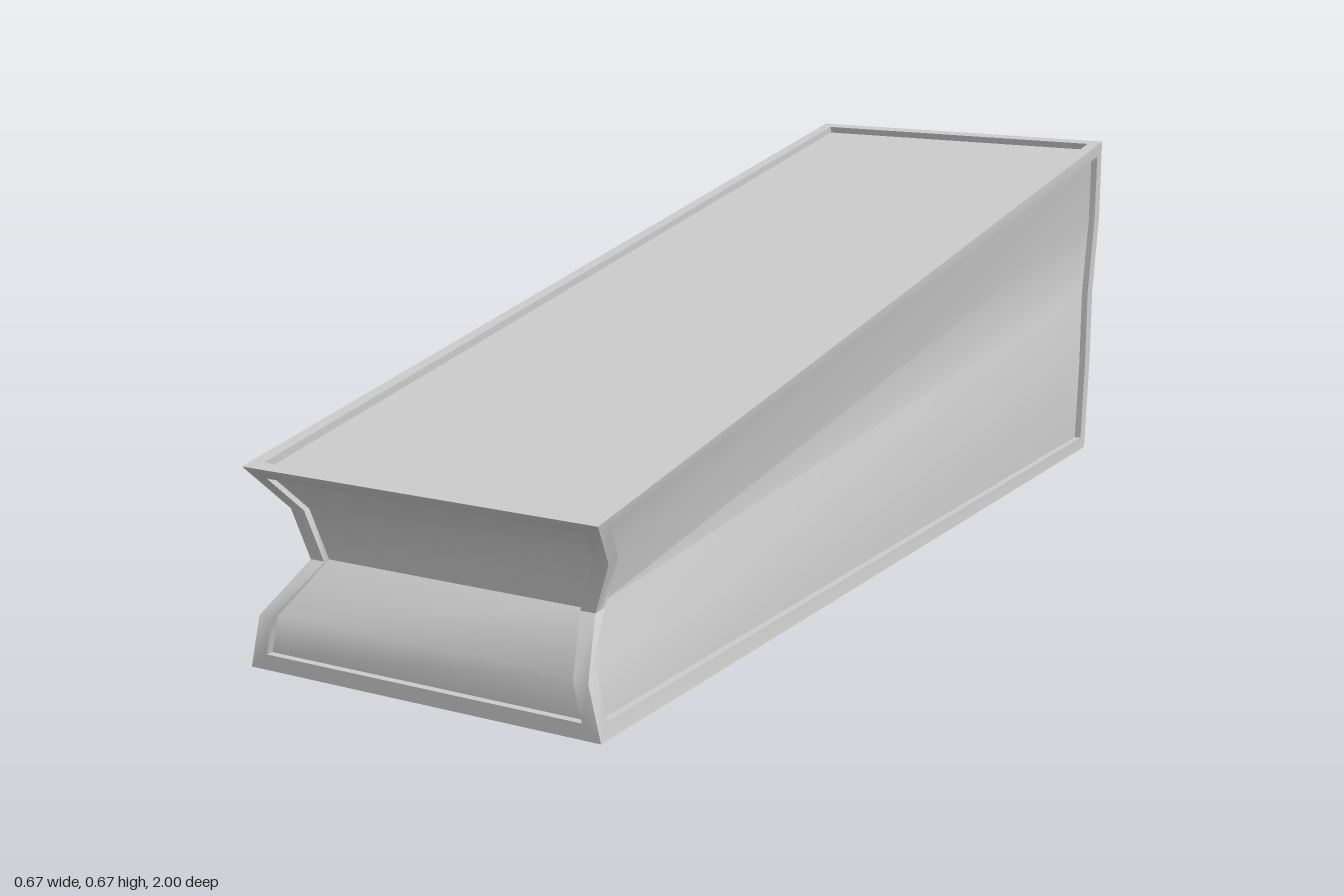
import * as THREE from 'three';
import { toCreasedNormals } from 'three/addons/utils/BufferGeometryUtils.js';

const V = (x, y, z) => new THREE.Vector3(x, y, z);
const material = new THREE.MeshStandardMaterial({ color: 0xcccccc });

// Corner edges from bottom to top: the front ones pinch in to a notch.
const frontEdge = [[0.333, 0, 1], [0.312, 0.09, 1], [0.272, 0.167, 0.917], [0.302, 0.25, 0.925], [0.333, 0.333, 1]];
const backEdge = [[0.333, 0, -0.955], [0.333, 0.19, -0.97], [0.333, 0.345, -0.972], [0.333, 0.505, -0.998], [0.333, 0.667, -1]];
const rail = (points, side) => points.map(([x, y, z]) => V(x * side, y, z));

// Mesh from a list of quads (corners counter-clockwise from outside).
function quadMesh(name, quads) {
  const positions = [];
  for (const [a, b, c, d] of quads) {
    for (const p of [a, b, c, a, c, d]) positions.push(p.x, p.y, p.z);
  }
  const geometry = new THREE.BufferGeometry();
  geometry.setAttribute('position', new THREE.Float32BufferAttribute(positions, 3));
  const mesh = new THREE.Mesh(toCreasedNormals(geometry, 0.87), material);
  mesh.name = name;
  return mesh;
}

const toward = (p, q, w) => p.clone().lerp(q, w / p.distanceTo(q));

// Rail moved inward from both its ends and toward the opposite rail.
function insetRail(a, b, w) {
  const end = a.length - 1;
  const shorten = (r, i) => i === 0 ? toward(r[0], r[1], w)
    : i === end ? toward(r[end], r[end - 1], w) : r[i].clone();
  return a.map((_, i) => toward(shorten(a, i), shorten(b, i), w));
}

const strip = (a, b) => a.slice(1).map((_, i) => [a[i], b[i], b[i + 1], a[i + 1]]);
const loop = (a, b) => [...a, ...[...b].reverse(), a[0]];

// A face between left rail a and right rail b: raised frame and sunken panel.
function framedFace(name, a, b, width, depth) {
  const ia = insetRail(a, b, width), ib = insetRail(b, a, width);
  const sink = r => r.map(p => p.clone().add(depth));
  const pa = sink(ia), pb = sink(ib);
  const outer = loop(a, b), inner = loop(ia, ib), sunk = loop(pa, pb);
  const group = new THREE.Group();
  group.name = name;
  group.add(
    quadMesh(name + 'Frame', [...strip(outer, inner), ...strip(inner, sunk)]),
    quadMesh(name + 'Panel', strip(pa, pb)),
  );
  return group;
}

export function createModel() {
  const model = new THREE.Group();
  model.name = 'wedgeBlock';
  const fl = rail(frontEdge, 1), fr = rail(frontEdge, -1);
  const bl = rail(backEdge, 1), br = rail(backEdge, -1);
  const d = 0.013;

  // Four walls
  model.add(framedFace('front', fr, fl, 0.027, V(0, 0, -d)));
  model.add(framedFace('back', bl, br, 0.025, V(0, 0, d)));
  model.add(framedFace('leftSide', fl, bl, 0.026, V(-d, 0, 0)));
  model.add(framedFace('rightSide', br, fr, 0.026, V(d, 0, 0)));

  // Sloping top
  model.add(framedFace('top', [fr[4], br[4]], [fl[4], bl[4]], 0.024, V(0, -d, -d / 6)));

  // Plain underside
  model.add(quadMesh('bottom', strip([br[0], fr[0]], [bl[0], fl[0]])));
  return model;
}
